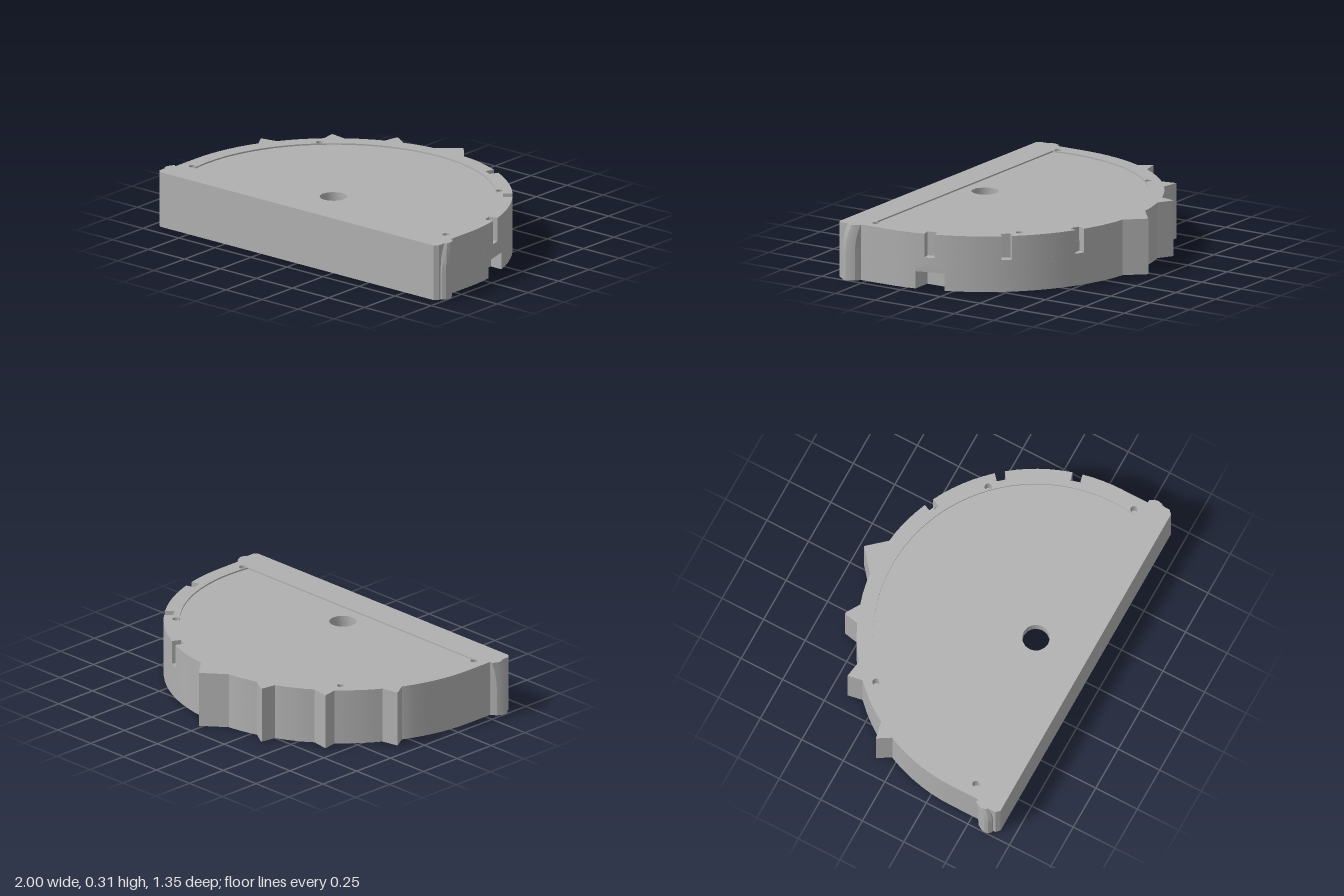
import * as THREE from 'three';
import { toCreasedNormals } from 'three/addons/utils/BufferGeometryUtils.js';

const R = 0.95, CZ = 0.37; // rim radius and arc centre
const rim = (t, r = R) => [r * Math.cos(t), CZ - r * Math.sin(t)];
const angleOf = ([x, z]) => Math.atan2(CZ - z, x);

// Pointed teeth on the rim
const teeth = [
  [[0.11, -0.572], [0.02, -0.675], [-0.105, -0.573]],
  [[-0.28, -0.537], [-0.355, -0.583], [-0.365, -0.583], [-0.38, -0.5]],
  [[-0.567, -0.39], [-0.665, -0.405], [-0.65, -0.323]],
  [[-0.81, -0.125], [-0.905, -0.105], [-0.86, -0.03]],
];
// Narrow slots in the upper rim
const slots = [15, 40, 65].map((d) => {
  const t = THREE.MathUtils.degToRad(d), w = 0.029;
  return [rim(t - w), rim(t - w, 0.9), rim(t + w, 0.9), rim(t + w)];
});
// Gabled opening low on one side
const atZ = (z) => rim(Math.asin((CZ - z) / R));
const opening = [atZ(0.2), [0.82, 0.2], [0.82, 0.045], atZ(0.045)];

function outline(cuts) {
  const pts = [[-0.95, 0.535], [-0.97, 0.56], [-0.97, 0.65], [-0.95, 0.67],
    [0.95, 0.67], [0.97, 0.65], [0.97, 0.56], [0.95, 0.535]];
  let t = 0;
  const arcTo = (end) => {
    const n = Math.max(1, Math.round((end - t) / 0.06));
    for (let i = 0; i < n; i++) pts.push(rim(t + ((end - t) * i) / n));
  };
  for (const f of [...cuts, ...teeth]) {
    arcTo(angleOf(f[0]));
    pts.push(...f);
    t = angleOf(f[f.length - 1]) + 0.01;
  }
  arcTo(Math.PI);
  pts.push(rim(Math.PI));
  return pts;
}

const poly = (pts, Kind = THREE.Path) => new Kind(pts.map(([x, z]) => new THREE.Vector2(x, z)));

function circle(x, z, r) {
  const p = new THREE.Path();
  p.absarc(x, z, r, 0, Math.PI * 2);
  return p;
}

function roundRect(x0, x1, z0, z1, r = 0.03) {
  const p = new THREE.Path();
  p.absarc(x1 - r, z1 - r, r, 0, Math.PI / 2);
  p.absarc(x0 + r, z1 - r, r, Math.PI / 2, Math.PI);
  p.absarc(x0 + r, z0 + r, r, Math.PI, Math.PI * 1.5);
  p.absarc(x1 - r, z0 + r, r, Math.PI * 1.5, Math.PI * 2);
  return p;
}

// Upright prism from a plan outline
function prism(pts, holes, y0, y1, steps = 1) {
  const s = poly(pts, THREE.Shape);
  s.holes.push(...holes);
  const g = new THREE.ExtrudeGeometry(s, { depth: y1 - y0, bevelEnabled: false, steps, curveSegments: 8 });
  g.rotateX(Math.PI / 2);
  g.translate(0, y1, 0);
  return g;
}

function deform(g, rule) {
  const p = g.attributes.position;
  const v = new THREE.Vector3();
  for (let i = 0; i < p.count; i++) {
    v.fromBufferAttribute(p, i);
    rule(v);
    p.setXYZ(i, v.x, v.y, v.z);
  }
  g.computeVertexNormals();
  return g;
}

// Hipped ceiling over a four-cornered pocket, facing down
function hipRoof(c, y, p, q) {
  const [a, b, d, e] = c.map(([x, z]) => [x, y, z]);
  const tris = [b, a, q, q, a, p, d, b, q, e, d, p, p, d, q, a, e, p];
  const g = new THREE.BufferGeometry();
  g.setAttribute('position', new THREE.Float32BufferAttribute(tris.flat(), 3));
  g.computeVertexNormals();
  return g;
}

export function createModel() {
  const group = new THREE.Group();
  const grey = new THREE.MeshStandardMaterial({ color: 0xb0b0b0, side: THREE.DoubleSide });
  grey.name = 'plain grey';
  const add = (name, g) => {
    const m = new THREE.Mesh(toCreasedNormals(g, 0.4), grey);
    m.name = name;
    group.add(m);
  };

  // Underside pockets
  const backPocket = [[-0.47, -0.22], [0.45, -0.22], [0.45, -0.46], [-0.45, -0.46]];
  const sidePocket = [[-0.83, 0.34], [-0.25, 0.34], [-0.15, -0.02], [-0.7, -0.18]];
  const innerPocket = [[0.2, 0.05], [0.75, 0.05], [0.75, -0.11], [0.2, -0.11]];
  const hubPocket = [[-0.11, 0.26], [0.05, 0.26], [0.05, 0.12], [0.28, 0.12], [0.28, 0.26],
    [0.22, 0.26], [0.22, 0.45], [-0.11, 0.45]];
  const pockets = () => [
    roundRect(0.33, 0.85, 0.42, 0.6), roundRect(0.33, 0.85, 0.23, 0.35),
    roundRect(-0.83, -0.25, 0.49, 0.62),
    ...[backPocket, sidePocket, innerPocket, hubPocket].map((p) => poly(p)),
  ];
  const pins = () => [[0.625, -0.255], [-0.625, -0.255], [0.88, 0.485], [-0.88, 0.485]]
    .map(([x, z]) => circle(x, z, 0.02));

  // Body in levels, from the ground up
  add('lowerBody', prism(outline([opening]), pockets(), 0, 0.14));
  add('middleBody', prism(outline([]), pockets(), 0.14, 0.175));
  add('upperBody', prism(outline(slots), pockets(), 0.175, 0.235));
  add('topPlate', prism(outline(slots), [circle(0, CZ, 0.073), ...pins()], 0.235, 0.297));

  // Raised border around the slightly sunken top panel
  const panel = [];
  const t0 = Math.asin((CZ - 0.5) / 0.865);
  for (let i = 0; i <= 48; i++) panel.push(rim(t0 + ((Math.PI - 2 * t0) * i) / 48, 0.865));
  add('topBorder', prism(outline(slots), [poly(panel), ...pins()], 0.297, 0.305));

  // Gable closing the side opening
  const gable = prism([atZ(0.2), [0.82, 0.2], [0.82, 0.1225], [0.82, 0.045], atZ(0.045), atZ(0.1225)],
    [], 0.095, 0.14);
  add('openingGable', deform(gable, (v) => {
    if (v.y < 0.1) v.y += 0.03 * (1 - Math.abs(v.z - 0.1225) / 0.0775);
  }));

  // Sloped pocket ceilings
  add('backPocketCeiling', hipRoof(backPocket, 0.06, [-0.33, 0.17, -0.34], [0.33, 0.17, -0.34]));
  add('sidePocketCeiling', hipRoof(sidePocket, 0.03, [-0.56, 0.17, 0.06], [-0.48, 0.17, 0.06]));
  add('innerPocketCeiling', hipRoof(innerPocket, 0.09, [0.28, 0.16, -0.03], [0.67, 0.16, -0.03]));

  // Rounded snap ribs at both ends, leaning in towards the top
  for (const s of [1, -1]) {
    const plan = [[0.94, 0.53], [0.955, 0.538], [0.98, 0.555], [0.995, 0.58], [1, 0.6],
      [0.995, 0.62], [0.98, 0.635], [0.94, 0.64]].map(([x, z]) => [x * s, z]);
    const rib = deform(prism(plan, [], 0, 0.305, 8), (v) => {
      const t = Math.max(0, (v.y - 0.15) / 0.155) ** 2;
      if (Math.abs(v.x) > 0.97) {
        v.x -= s * 0.015 * t;
        v.z -= 0.025 * t;
      }
    });
    add(s > 0 ? 'leftRib' : 'rightRib', rib);
  }
  return group;
}
